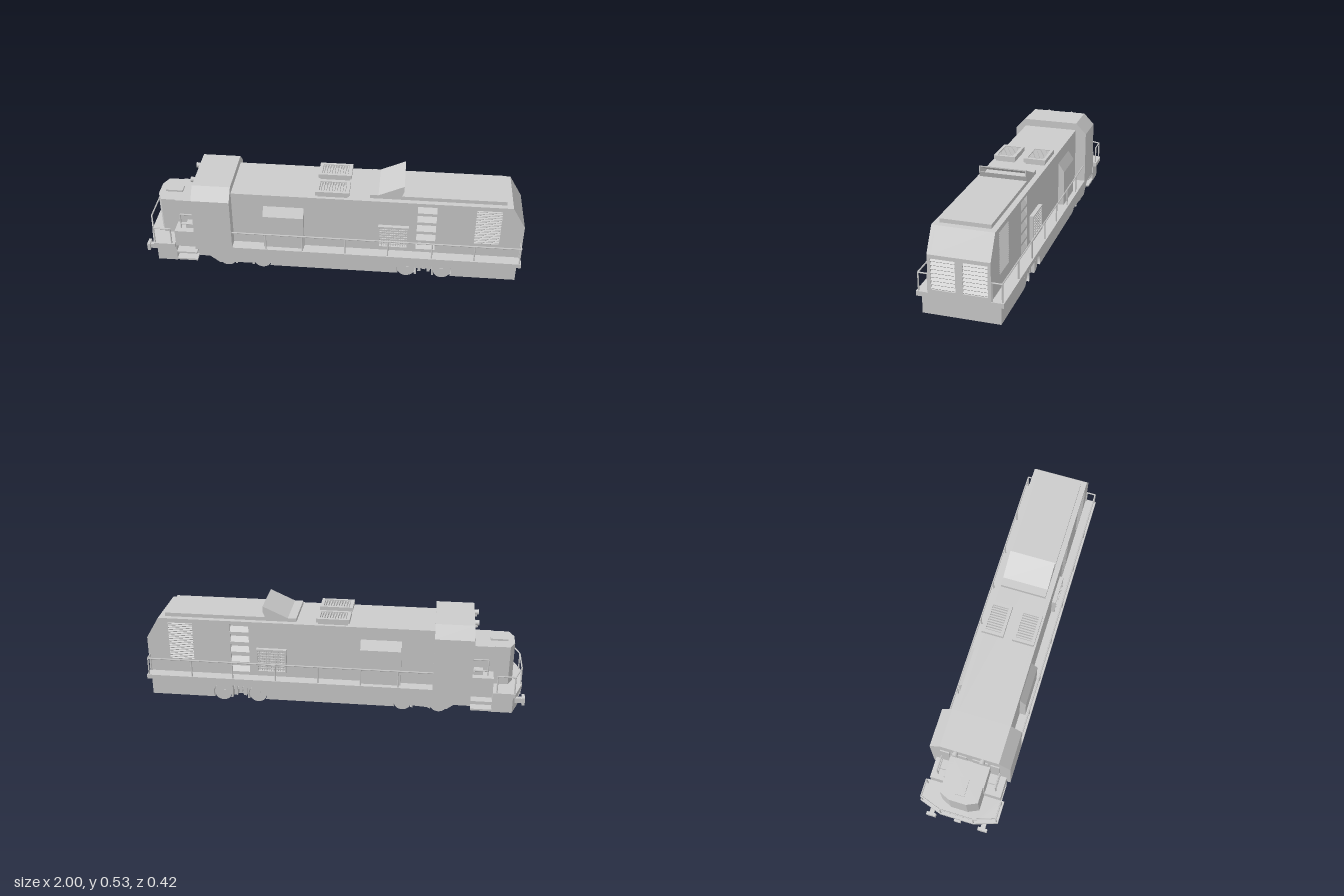
import * as THREE from 'three';

export function createModel() {
  const root = new THREE.Group();
  const mat = new THREE.MeshStandardMaterial({ color: 0xcccccc });
  const add = (name, geo) => {
    const m = new THREE.Mesh(geo, mat);
    m.name = name;
    root.add(m);
    return m;
  };
  const box = (name, x0, x1, y0, y1, z0, z1) => {
    const m = add(name, new THREE.BoxGeometry(x1 - x0, y1 - y0, Math.abs(z1 - z0)));
    m.position.set((x0 + x1) / 2, (y0 + y1) / 2, (z0 + z1) / 2);
    return m;
  };
  const rod = (name, a, b, r = 0.004) => {
    const p = new THREE.Vector3(...a), q = new THREE.Vector3(...b);
    const m = add(name, new THREE.CylinderGeometry(r, r, p.distanceTo(q), 6));
    m.position.copy(p).add(q).multiplyScalar(0.5);
    m.quaternion.setFromUnitVectors(new THREE.Vector3(0, 1, 0), q.sub(p).normalize());
    return m;
  };
  const poly = pts => new THREE.Shape(pts.map(p => new THREE.Vector2(...p)));
  const rect = (a, b, c, d) => poly([[a, c], [b, c], [b, d], [a, d]]);
  const extrude = (shape, depth) =>
    new THREE.ExtrudeGeometry(shape, { depth, bevelEnabled: false, curveSegments: 12 });
  // Profile in x,y pushed along z; plan in x,z pushed along y; section in z,y pushed along x
  const side = (name, shape, z0, z1) => add(name, extrude(shape, z1 - z0).translate(0, 0, z0));
  const plan = (name, pts, y0, y1) => add(name, extrude(poly(pts), y1 - y0).rotateX(-Math.PI / 2).translate(0, y0, 0));
  const section = (name, shape, x0, x1) => add(name, extrude(shape, x1 - x0).rotateY(Math.PI / 2).translate(x0, 0, 0));
  const sym = half => [...half, ...half.slice().reverse().map(([x, z]) => [x, -z])];
  const both = fn => [1, -1].forEach(fn);

  // Underframe and walkway
  plan('underframe', sym([[0.98, -0.14], [-0.72, -0.14]]), 0.022, 0.12);
  plan('frontUnderframe', sym([[-0.83, -0.19], [-0.935, -0.19], [-0.97, -0.09]]), 0.022, 0.12);
  box('stepWellCore', -0.84, -0.71, 0.022, 0.12, -0.14, 0.14);
  plan('walkway', sym([[1, -0.21], [-0.72, -0.21], [-0.72, -0.19], [-0.83, -0.19],
    [-0.83, -0.21], [-0.945, -0.21], [-0.985, -0.09]]), 0.118, 0.142);

  // Side skirts cut out around the wheels and the middle of each bogie
  const skirt = new THREE.Shape();
  const r = 0.05, wy = 0.048, base = 0.022;
  const ang = Math.asin((wy - base) / r);
  skirt.moveTo(-0.72, base);
  for (const cx of [-0.46, 0.5]) {
    skirt.absarc(cx - 0.095, wy, r, Math.PI + ang, -ang, true);
    skirt.lineTo(cx - 0.04, base);
    skirt.lineTo(cx - 0.04, 0.112);
    skirt.lineTo(cx + 0.04, 0.112);
    skirt.lineTo(cx + 0.04, base);
    skirt.absarc(cx + 0.095, wy, r, Math.PI + ang, -ang, true);
  }
  skirt.lineTo(0.98, base);
  skirt.lineTo(0.98, 0.12);
  skirt.lineTo(-0.72, 0.12);

  both(s => {
    side('sideSkirt', skirt, s > 0 ? 0.135 : -0.19, s > 0 ? 0.19 : -0.135);
    for (const cx of [-0.46, 0.5]) {
      for (const d of [-0.095, 0.095]) {
        const w = add('wheel', new THREE.CylinderGeometry(0.047, 0.047, 0.04, 28).rotateX(Math.PI / 2));
        w.position.set(cx + d, 0.047, s * 0.158);
        const f = add('wheelFlange', new THREE.CylinderGeometry(0.04, 0.04, 0.008, 28).rotateX(Math.PI / 2));
        f.position.set(cx + d, 0.047, s * 0.136);
        box('axleBox', cx + d - 0.014, cx + d + 0.014, 0.036, 0.062, s * 0.17, s * 0.18);
      }
      for (const d of [-0.025, 0, 0.025])
        box('bogieSpring', cx + d - 0.008, cx + d + 0.008, d ? 0.03 : 0.045, 0.112, s * 0.13, s * 0.175);
      box('bogieBeam', cx - 0.04, cx + 0.04, 0.06, 0.075, s * 0.13, s * 0.165);
    }
    // Boarding steps and stairs up to the cab
    for (const y of [0.024, 0.069]) box('boardingStep', -0.83, -0.72, y, y + 0.01, s * 0.13, s * 0.19);
    box('lowerStair', -0.83, -0.72, 0.14, 0.215, s * 0.09, s * 0.19);
    box('upperStair', -0.775, -0.72, 0.21, 0.235, s * 0.09, s * 0.155);
    const z = s * 0.155;
    for (const y of [0.24, 0.302]) rod('stairRail', [-0.8, y, z], [-0.72, y, z]);
    rod('stairRailPost', [-0.8, 0.21, z], [-0.8, 0.302, z]);
    // Buffers and front lamps
    box('bufferArm', -0.985, -0.94, 0.062, 0.088, s * 0.128, s * 0.152);
    box('bufferPlate', -1, -0.985, 0.055, 0.097, s * 0.115, s * 0.165);
    box('frontLamp', -0.978, -0.96, 0.06, 0.085, s * 0.035, s * 0.07);
  });
  box('coupler', -0.99, -0.96, 0.045, 0.075, -0.018, 0.018);

  // Nose
  plan('nose', sym([[-0.71, -0.1], [-0.91, -0.1], [-0.935, -0.045]]), 0.14, 0.355);
  box('noseHatch', -0.9, -0.81, 0.35, 0.365, -0.025, 0.025);
  both(s => box('noseShoulder', -0.83, -0.71, 0.14, 0.355, s * 0.08, s * 0.105));

  // Cab with chamfered roof
  section('cab', poly([[-0.21, 0.12], [0.21, 0.12], [0.21, 0.43], [0.152, 0.49], [-0.152, 0.49], [-0.21, 0.43]]), -0.72, -0.52);
  both(s => {
    box('cabDoor', -0.726, -0.715, 0.235, 0.42, s * 0.108, s * 0.155);
    box('windscreen', -0.725, -0.715, 0.37, 0.43, s * 0.015, s * 0.095);
    const lamp = add('headlight', new THREE.CylinderGeometry(0.015, 0.012, 0.025, 16).rotateZ(Math.PI / 2));
    lamp.position.set(-0.73, 0.472, s * 0.07);
    box('headlightBracket', -0.735, -0.715, 0.45, 0.46, s * 0.06, s * 0.08);
  });

  // Engine hood: core, pierced side walls and rear wall
  const hood = [[-0.53, 0.14], [0.98, 0.14], [0.98, 0.335], [1, 0.335], [0.932, 0.45], [-0.53, 0.45]];
  side('hoodCore', poly(hood), -0.128, 0.128);
  const slots = [0.16, 0.217, 0.275, 0.333, 0.39];
  const wall = poly(hood);
  for (const y of slots) wall.holes.push(rect(0.45, 0.55, y, y + 0.045));
  const rear = rect(-0.15, 0.15, 0.14, 0.335);
  both(s => rear.holes.push(s > 0 ? rect(0.018, 0.135, 0.16, 0.316) : rect(-0.135, -0.018, 0.16, 0.316)));
  section('rearWall', rear, 0.98, 1);

  both(s => {
    side('hoodSide', wall, s > 0 ? 0.128 : -0.15, s > 0 ? 0.15 : -0.128);
    // Sloped sill in each side vent
    for (const y of slots) {
      const pts = [[0.128, y], [0.15, y], [0.128, y + 0.025]].map(([z, h]) => [-s * z, h]);
      section('ventSill', poly(pts), 0.45, 0.55);
    }
    // Louvred side panel
    for (let i = 0; i < 20; i++) {
      const y = 0.225 + i * 0.0105;
      box('sideLouvre', 0.75, 0.88, y - 0.0015, y + 0.0015, s * 0.144, s * 0.155).rotation.x = s * 0.8;
    }
    // Rear louvres
    for (let i = 0; i < 8; i++) {
      const y = 0.172 + i * 0.0195;
      box('rearLouvre', 0.982, 1.002, y - 0.002, y + 0.002, s * 0.018, s * 0.135).rotation.z = -0.65;
    }
    // Side equipment box with sloping lid
    const pts = [[0.145, 0.14], [0.182, 0.14], [0.182, 0.335], [0.15, 0.382], [0.145, 0.382]].map(([z, y]) => [-s * z, y]);
    section('equipmentBox', poly(pts), -0.353, -0.14);
    // Radiator grille: frame and lattice
    const frame = rect(0.25, 0.41, 0.172, 0.305);
    frame.holes.push(rect(0.258, 0.402, 0.18, 0.297));
    side('grilleFrame', frame, s > 0 ? 0.148 : -0.171, s > 0 ? 0.171 : -0.148);
    for (let i = 1; i < 12; i++)
      box('grilleBar', 0.256 + i * 0.0123, 0.26 + i * 0.0123, 0.176, 0.3, s * 0.158, s * 0.164);
    for (let i = 1; i < 8; i++)
      box('grilleCrossBar', 0.255, 0.405, 0.178 + i * 0.0147, 0.182 + i * 0.0147, s * 0.16, s * 0.167);
    // Roof vents
    box('roofVentBase', -0.07, 0.085, 0.445, 0.463, s * 0.03, s * 0.132);
    const rim = rect(-0.08, 0.095, -0.058, 0.058);
    rim.holes.push(rect(-0.062, 0.077, -0.042, 0.042));
    add('roofVentRim', extrude(rim, 0.022).rotateX(-Math.PI / 2)).position.set(0, 0.461, s * 0.082);
    for (let i = 0; i < 10; i++)
      box('roofVentSlat', -0.058 + i * 0.014, -0.052 + i * 0.014, 0.46, 0.479, s * 0.038, s * 0.126);
  });

  // Raised roof panel and rear-facing air scoop
  box('roofPanel', 0.2, 0.9, 0.445, 0.47, -0.122, 0.122);
  side('scoopTop', poly([[0.24, 0.468], [0.262, 0.468], [0.376, 0.524], [0.376, 0.53]]), -0.122, 0.122);
  const cheek = poly([[0.24, 0.468], [0.364, 0.468], [0.376, 0.497], [0.376, 0.53]]);
  both(s => side('scoopCheek', cheek, s > 0 ? 0.117 : -0.122, s > 0 ? 0.122 : -0.117));
  side('scoopLip', poly([[0.35, 0.468], [0.364, 0.468], [0.376, 0.497], [0.37, 0.497]]), -0.12, 0.12);

  // Handrails
  const top = 0.234;
  both(s => {
    const z = s * 0.2;
    rod('sideRail', [-0.52, top, z], [0.992, top, z]);
    for (const x of [-0.34, -0.145, 0.08, 0.305, 0.535, 0.755, 0.99])
      rod('sideRailPost', [x, 0.14, z], [x, top, z]);
    rod('rearRail', [0.992, top, z], [0.992, top, s * 0.15]);
    rod('rearRailPost', [0.992, 0.14, s * 0.153], [0.992, top, s * 0.153]);
    const path = [[-0.85, 0.2], [-0.94, 0.2], [-0.978, 0.088], [-0.978, 0]];
    path.forEach(([x, pz], i) => {
      if (i < 3) rod('frontRailPost', [x, 0.14, s * pz], [x, top, s * pz]);
      if (i) rod('frontRail', [path[i - 1][0], top, s * path[i - 1][1]], [x, top, s * pz]);
    });
  });

  return root;
}
